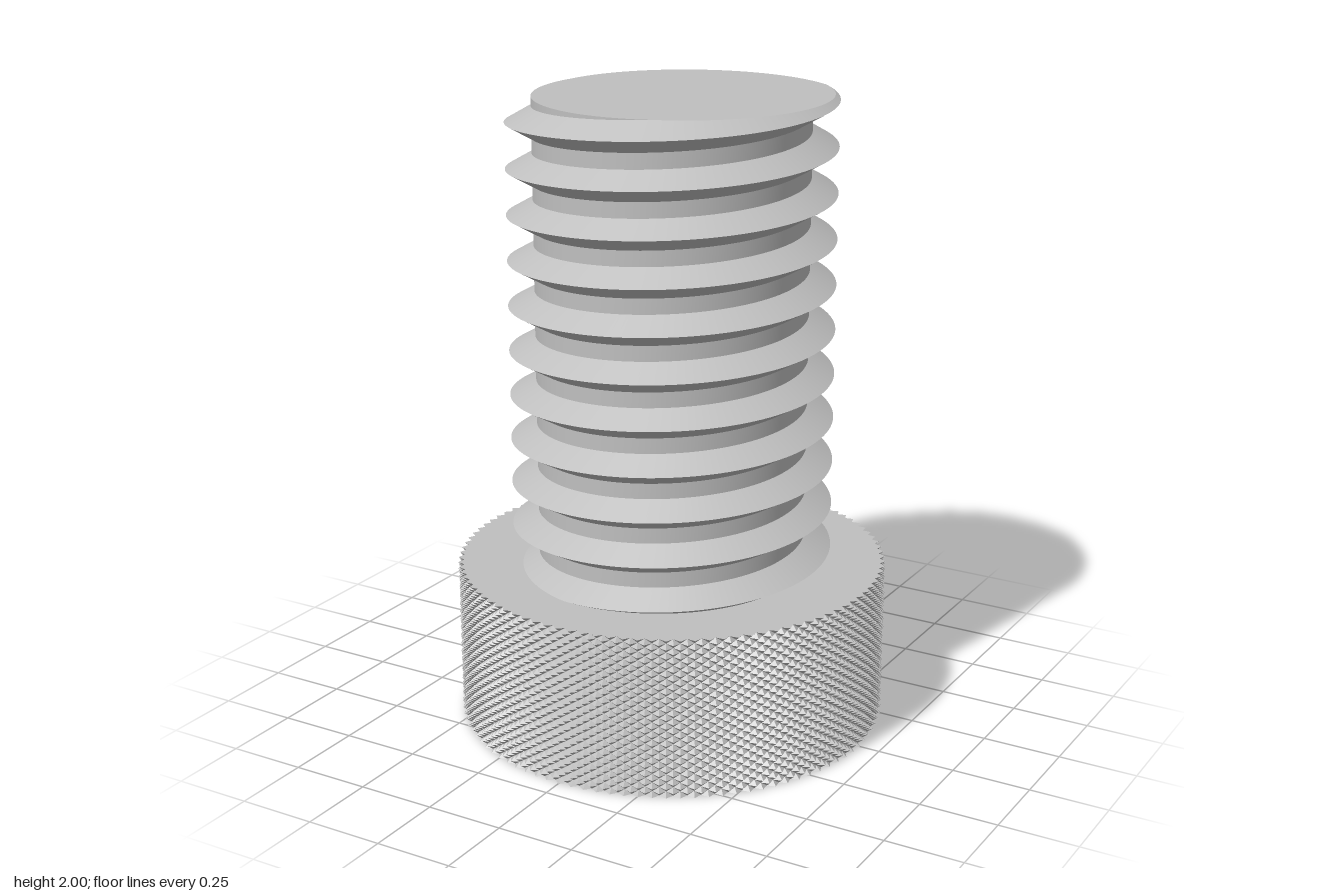
import * as THREE from 'three';
import { toCreasedNormals } from 'three/addons/utils/BufferGeometryUtils.js';

const TOP = 2, HEAD = 0.512;

const polar = (a, r, y) => [Math.cos(a) * r, y, Math.sin(a) * r];

function toGeometry(triangles) {
  const g = new THREE.BufferGeometry();
  g.setAttribute('position', new THREE.Float32BufferAttribute(triangles.flat(2), 3));
  return g;
}

// Flat disc with an arbitrary rim, facing up or down
function cap(rim, y, up) {
  const tris = [];
  for (let i = 0; i < rim.length - 1; i++) {
    tris.push(up ? [[0, y, 0], rim[i + 1], rim[i]] : [[0, y, 0], rim[i], rim[i + 1]]);
  }
  return tris;
}

// Head: crossed V-grooves leave a lattice of small pyramids round the side
function knurledHead() {
  const R = 0.685, depth = 0.018, cols = 200, rows = 36;
  const point = (i, j) => polar((i / cols) * Math.PI * 2,
    (i + j) % 2 ? R - depth : R, (j / rows) * HEAD);
  const tris = [], bottom = [], top = [];
  for (let i = 0; i <= cols; i++) {
    bottom.push(point(i, 0));
    top.push(point(i, rows));
    if (i === cols) break;
    for (let j = 0; j < rows; j++) {
      const a = point(i, j), b = point(i + 1, j), c = point(i, j + 1), d = point(i + 1, j + 1);
      // split each cell along its groove
      if ((i + j) % 2) tris.push([a, c, d], [a, d, b]);
      else tris.push([a, c, b], [b, c, d]);
    }
  }
  const g = toGeometry([...tris, ...cap(bottom, 0, false), ...cap(top, HEAD, true)]);
  g.computeVertexNormals();
  return g;
}

// Shank: helical V-thread with a flat root, cut off level at both ends
function threadedShank() {
  const root = 0.425, crest = 0.507, pitch = 0.1428, half = 0.047, cols = 240;
  const crestY = (a) => 1.98 - (pitch * a) / (Math.PI * 2);
  const radius = (a, y) => {
    const t = (y - crestY(a)) / pitch;
    const off = Math.abs(t - Math.round(t)) * pitch;
    return root + (crest - root) * Math.max(0, 1 - off / half);
  };
  const column = (i) => {
    const a = (i / cols) * Math.PI * 2, pts = [];
    for (let k = -11; k <= 2; k++) {
      for (const off of [-half, 0, half]) {
        const y = Math.min(TOP, Math.max(HEAD, crestY(a) + k * pitch + off));
        pts.push(polar(a, radius(a, y), y));
      }
    }
    return pts;
  };
  const tris = [], rim = [];
  const add = (a, b, c) => {
    if (a[1] !== b[1] || b[1] !== c[1]) tris.push([a, b, c]);
  };
  for (let i = 0; i <= cols; i++) {
    const a = (i / cols) * Math.PI * 2;
    rim.push(polar(a, radius(a, TOP), TOP));
    if (i === cols) break;
    const p = column(i), q = column(i + 1);
    for (let j = 0; j < p.length - 1; j++) {
      add(p[j], p[j + 1], q[j]);
      add(q[j], p[j + 1], q[j + 1]);
    }
  }
  return toCreasedNormals(toGeometry([...tris, ...cap(rim, TOP, true)]), 0.5);
}

export function createModel() {
  const steel = new THREE.MeshStandardMaterial({ color: 0xbfbfbf });
  steel.name = 'steel grey';

  const group = new THREE.Group();
  group.name = 'thumbScrew';
  const parts = { knurledHead: knurledHead(), threadedShank: threadedShank() };
  for (const [name, geometry] of Object.entries(parts)) {
    const mesh = new THREE.Mesh(geometry, steel);
    mesh.name = name;
    group.add(mesh);
  }
  return group;
}
